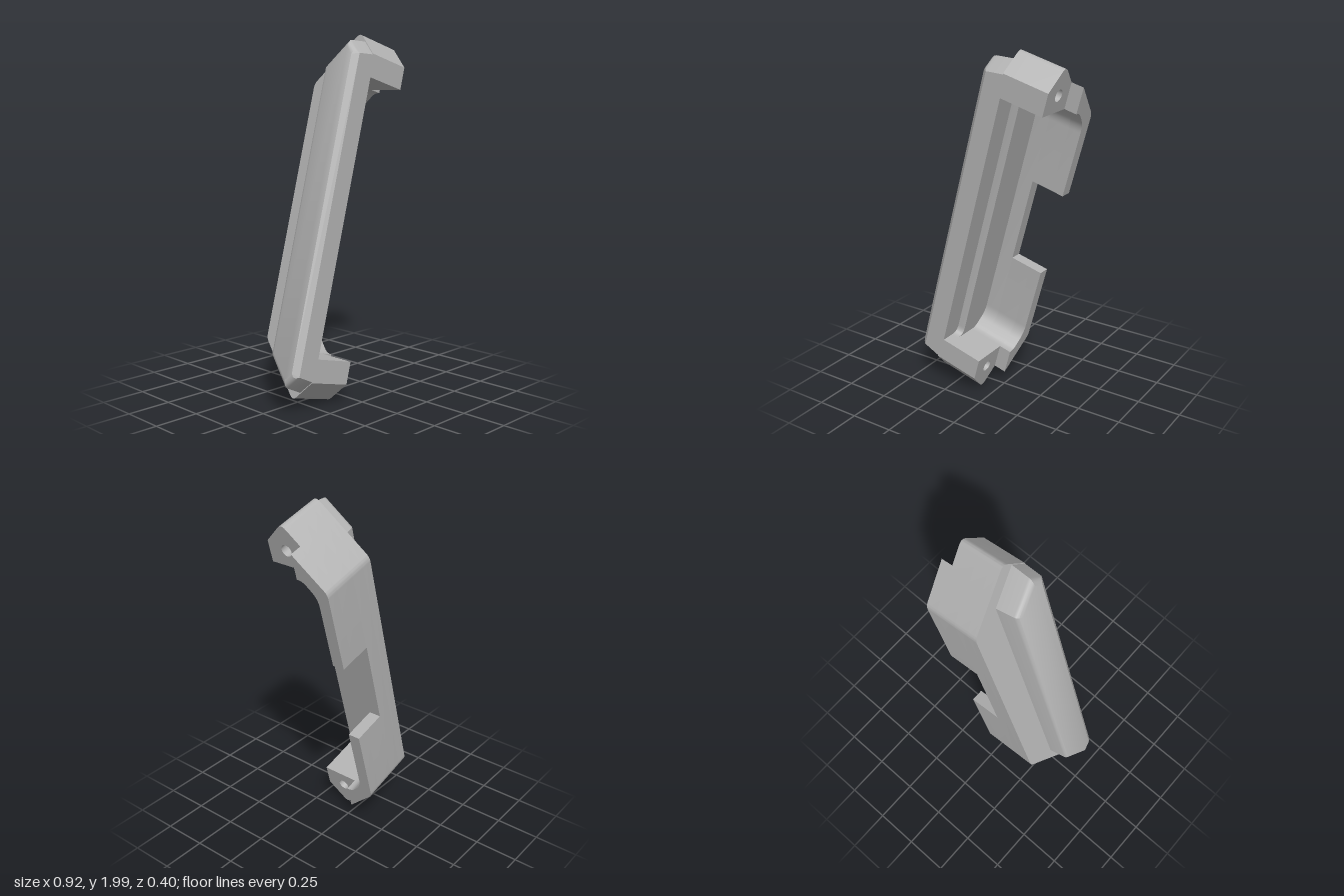
import * as THREE from 'three';
import { toCreasedNormals } from 'three/addons/utils/BufferGeometryUtils.js';
import { ConvexGeometry } from 'three/addons/geometries/ConvexGeometry.js';

// Local frame: x across the bracket, y along it (symmetric about LENGTH / 2), z to the front.
const LENGTH = 1.95;
const flip = (points) => points.map(([z, y, r]) => [z, LENGTH - y, r]).reverse();
const both = (points) => [...points, ...flip(points)];

// Closed outline from [z, y, cornerTrim] points; trimmed corners become curves.
function outline(points) {
  const shape = new THREE.Shape();
  const at = (i) => {
    const p = points[(i + points.length) % points.length];
    return new THREE.Vector2(-p[0], p[1]);
  };
  points.forEach(([, , trim = 0], i) => {
    const p = at(i);
    const toward = (q) => p.clone().add(q.sub(p).setLength(trim));
    const a = trim ? toward(at(i - 1)) : p;
    if (i === 0) shape.moveTo(a.x, a.y);
    else shape.lineTo(a.x, a.y);
    if (trim) {
      const b = toward(at(i + 1));
      shape.quadraticCurveTo(p.x, p.y, b.x, b.y);
    }
  });
  shape.closePath();
  return shape;
}

export function createModel() {
  const grey = new THREE.MeshStandardMaterial({ color: 0xb2b2b2 });
  grey.name = 'grey';
  const model = new THREE.Group();
  model.name = 'bracket';

  const add = (name, geometry) => {
    const mesh = new THREE.Mesh(toCreasedNormals(geometry, 0.5), grey);
    mesh.name = name;
    model.add(mesh);
  };

  // Extrudes an outline across the bracket from x0 to x1, with optional screw holes
  const layer = (name, points, x0, x1, holes = []) => {
    const shape = outline(points);
    for (const y of holes) {
      const hole = new THREE.Path();
      hole.absarc(-0.085, y, 0.033, 0, Math.PI * 2, true);
      shape.holes.push(hole);
    }
    const geometry = new THREE.ExtrudeGeometry(shape, { depth: x1 - x0, bevelEnabled: false, curveSegments: 8 });
    geometry.rotateY(Math.PI / 2).translate(x0, 0, 0);
    add(name, geometry);
  };

  const end = [[0.2, 0.09], [0.083, -0.03, 0.035], [-0.2, 0.253, 0.025]];
  const pocket = [[-0.13, 0.3, 0.05], [-0.05, 0.216, 0.03]];
  const holeY = 0.123;
  const tabY = 0.725;

  // Side wall with a stepped groove along the front
  layer('sideWall', both(end), -0.37, -0.355);
  layer('grooveStep', [...both(end), ...flip([[0.07, 0.216, 0.05], [0.2, 0.216]]),
    [0.07, 0.216, 0.05], [0.2, 0.216]], -0.355, -0.31);

  // C-shaped frame: two end blocks joined by the back wall
  const inner = [...pocket, [0.2, 0.216]];
  layer('frame', [...both(end), ...flip(inner), ...inner], -0.31, -0.225, [holeY, LENGTH - holeY]);

  // End blocks and back tabs, either side of the central notch
  const tab = [[-0.2, tabY], [-0.13, tabY]];
  const block = [...end, ...tab, ...inner];
  const lip = [[-0.017, 0.07], end[2], ...tab, ...pocket, [-0.017, 0.216]];
  for (const [label, place, y] of [['lower', (p) => p, holeY], ['upper', flip, LENGTH - holeY]]) {
    layer(label + 'EndBlock', place(block), -0.225, -0.1, [y]);
    layer(label + 'BackTab', place(lip), -0.1, -0.028);
  }

  // Tapered pad on the outer side: [x, inset, front chamfer] sections
  const corners = [];
  for (const [x, d, f] of [[-0.37, 0, 0], [-0.47, 0.015, 0], [-0.483, 0.019, 0.013], [-0.493, 0.029, 0.023], [-0.5, 0.045, 0.03]]) {
    const rise = d * Math.SQRT2;
    const back = -0.035 + d;
    const front = 0.2 - f;
    for (const [z, y] of both([[back, 0.15 - back + rise], [0.1275, 0.0225 + rise], [front, front - 0.105 + rise]])) {
      corners.push(new THREE.Vector3(x, y, z));
    }
  }
  add('sidePad', new ConvexGeometry(corners));

  // Lean the whole bracket to the side
  model.rotation.z = -Math.PI / 12;
  return model;
}
